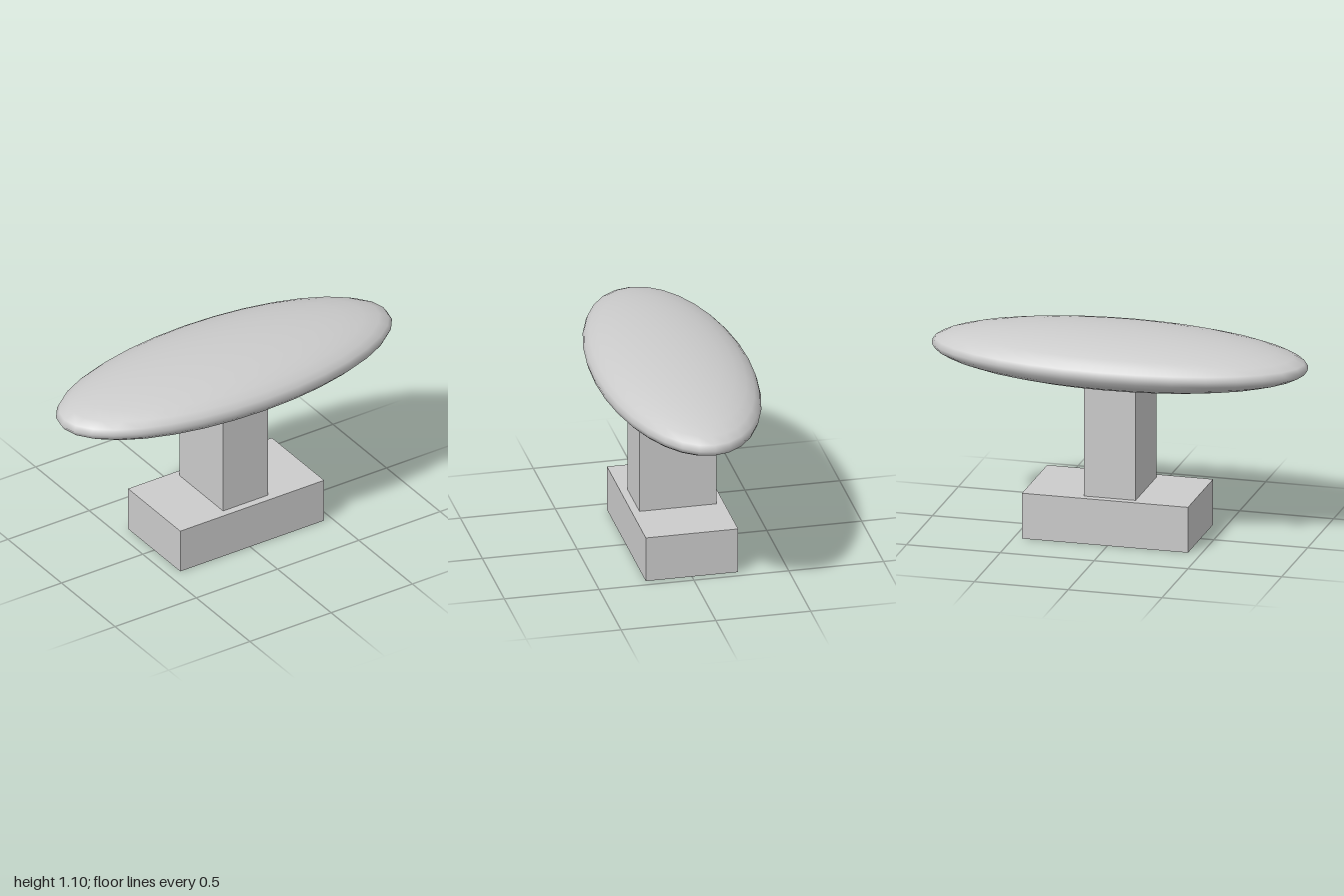
import * as THREE from 'three';

export function createModel() {
  const group = new THREE.Group();
  const material = new THREE.MeshStandardMaterial({ color: 0xcccccc });

  const add = (name, geometry, x, y, z) => {
    const mesh = new THREE.Mesh(geometry, material);
    mesh.name = name;
    mesh.position.set(x, y, z);
    group.add(mesh);
  };

  // Rectangular foot, set slightly off-centre
  add('base', new THREE.BoxGeometry(0.885, 0.245, 0.487), 0.013, 0.1225, 0);

  // Square-edged column, its top sunk into the tabletop
  add('column', new THREE.BoxGeometry(0.275, 0.655, 0.406), -0.002, 0.5725, 0);

  // Flattened ellipsoid top
  const top = new THREE.SphereGeometry(1, 32, 16).scale(1, 0.145, 0.412);
  add('tabletop', top, 0, 0.957, 0);

  return group;
}
